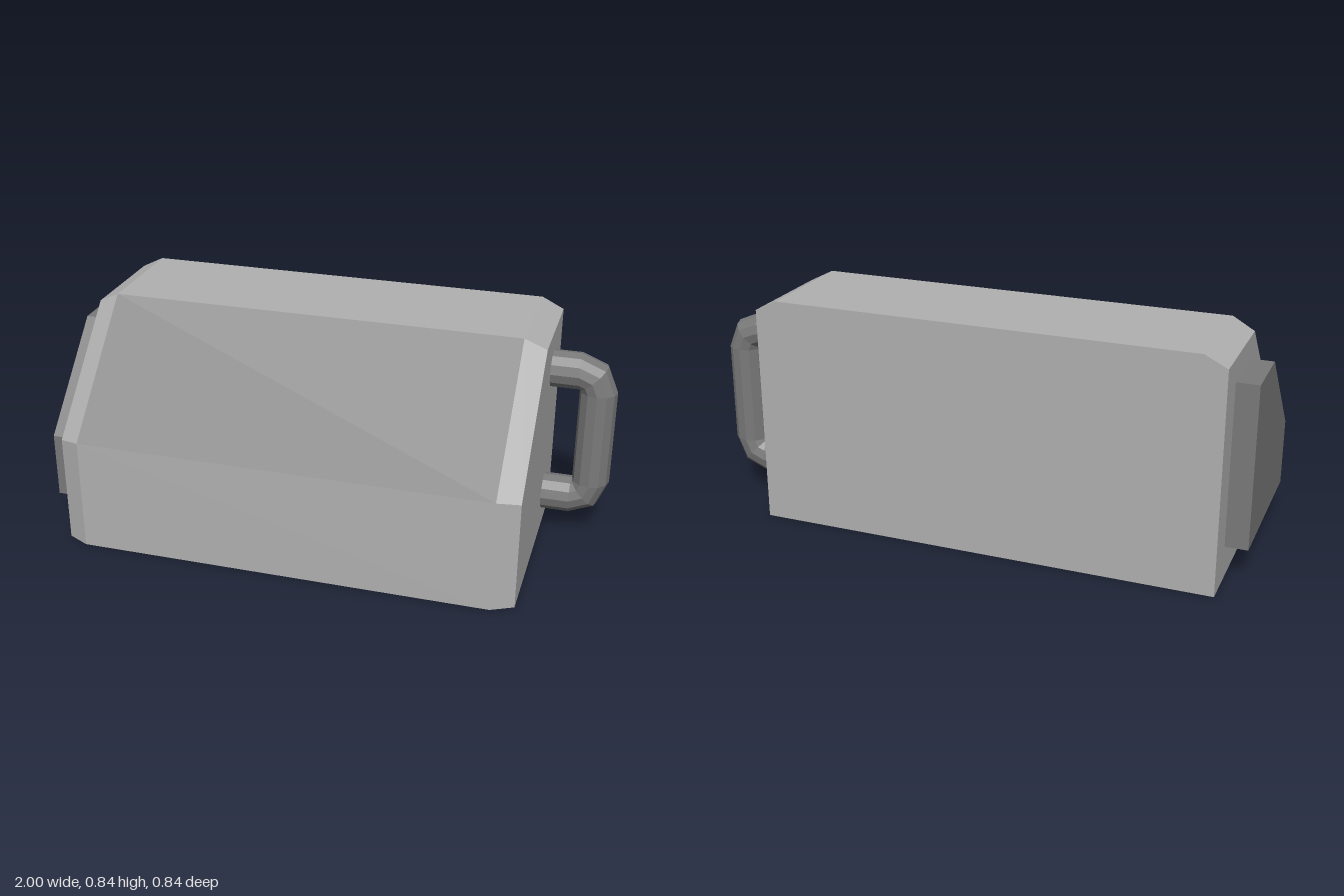
import * as THREE from 'three';

// House-shaped side profile [z, y]: straight back, flat top, 45 degree front slope
const profile = (back, front, bottom, top, slope) => [
  [back, bottom], [back, top], [slope - top, top], [front, slope - front], [front, bottom],
];
const SLOPE_EDGE = 2; // profile edge that forms the sloped panel

// Skins sections {x, pts} along x. `keep(segment, edge)` picks faces; caps are optional.
function loft(sections, keep, caps) {
  const pos = [];
  const put = (s, i) => pos.push(s.x, s.pts[i][1], s.pts[i][0]);
  const n = sections[0].pts.length;
  for (let s = 0; s < sections.length - 1; s++) {
    const a = sections[s], b = sections[s + 1];
    for (let i = 0; i < n; i++) {
      if (!keep(s, i)) continue;
      const j = (i + 1) % n;
      put(a, i); put(a, j); put(b, j);
      put(a, i); put(b, j); put(b, i);
    }
  }
  if (caps) {
    const first = sections[0], last = sections[sections.length - 1];
    for (let i = 1; i < n - 1; i++) {
      put(last, 0); put(last, i); put(last, i + 1);
      put(first, 0); put(first, i + 1); put(first, i);
    }
  }
  const geo = new THREE.BufferGeometry();
  geo.setAttribute('position', new THREE.Float32BufferAttribute(pos, 3));
  geo.computeVertexNormals();
  return geo;
}

// C-shaped grip: a faceted cylinder whose rings are moved along a bent path
function handleGeometry() {
  const radius = 0.068, bend = 0.07, cx = 0.862, yTop = 0.583, yLow = 0.22;
  const rings = [[0.72, yTop, 90]];
  for (const a of [90, 45, 0]) rings.push([cx, yTop, a]);
  for (const a of [0, -45, -90]) rings.push([cx, yLow, a]);
  rings.push([0.72, yLow, -90]);

  const sides = 12;
  const geo = new THREE.CylinderGeometry(radius, radius, 1, sides, rings.length - 1, true);
  const p = geo.attributes.position;
  for (let v = 0; v < p.count; v++) {
    const [x, y, deg] = rings[Math.floor(v / (sides + 1))];
    const a = THREE.MathUtils.degToRad(deg);
    const out = bend + p.getX(v);
    p.setXYZ(v, x + Math.cos(a) * out, y + Math.sin(a) * out, p.getZ(v) - 0.21);
  }
  const flat = geo.toNonIndexed();
  flat.computeVertexNormals();
  return flat;
}

export function createModel() {
  const lightGrey = new THREE.MeshStandardMaterial({ color: 0xb0b0b0 });
  lightGrey.name = 'light grey';
  const darkGrey = new THREE.MeshStandardMaterial({ color: 0x797979 });
  darkGrey.name = 'dark grey';

  const group = new THREE.Group();
  group.name = 'slopedBox';
  const add = (name, geo, mat) => {
    const mesh = new THREE.Mesh(geo, mat);
    mesh.name = name;
    group.add(mesh);
  };

  // Casing with chamfered ends; the middle of its slope is a dark panel
  const full = profile(-0.42, 0.42, 0, 0.84, 0.84);
  const inset = profile(-0.42, 0.38, 0, 0.8, 0.784);
  const casing = [
    { x: -0.92, pts: inset }, { x: -0.84, pts: full },
    { x: 0.68, pts: full }, { x: 0.76, pts: inset },
  ];
  const isPanel = (s, i) => s === 1 && i === SLOPE_EDGE;
  add('casing', loft(casing, (s, i) => !isPanel(s, i), true), lightGrey);
  add('slopedPanel', loft(casing, isPanel, false), darkGrey);

  // Raised plate on the right end
  const plate = profile(-0.294, 0.294, 0.126, 0.714, 0.662);
  add('endPlate', loft([{ x: -1, pts: plate }, { x: -0.9, pts: plate }], () => true, true), darkGrey);

  // Grip on the left end
  add('handle', handleGeometry(), darkGrey);

  return group;
}
